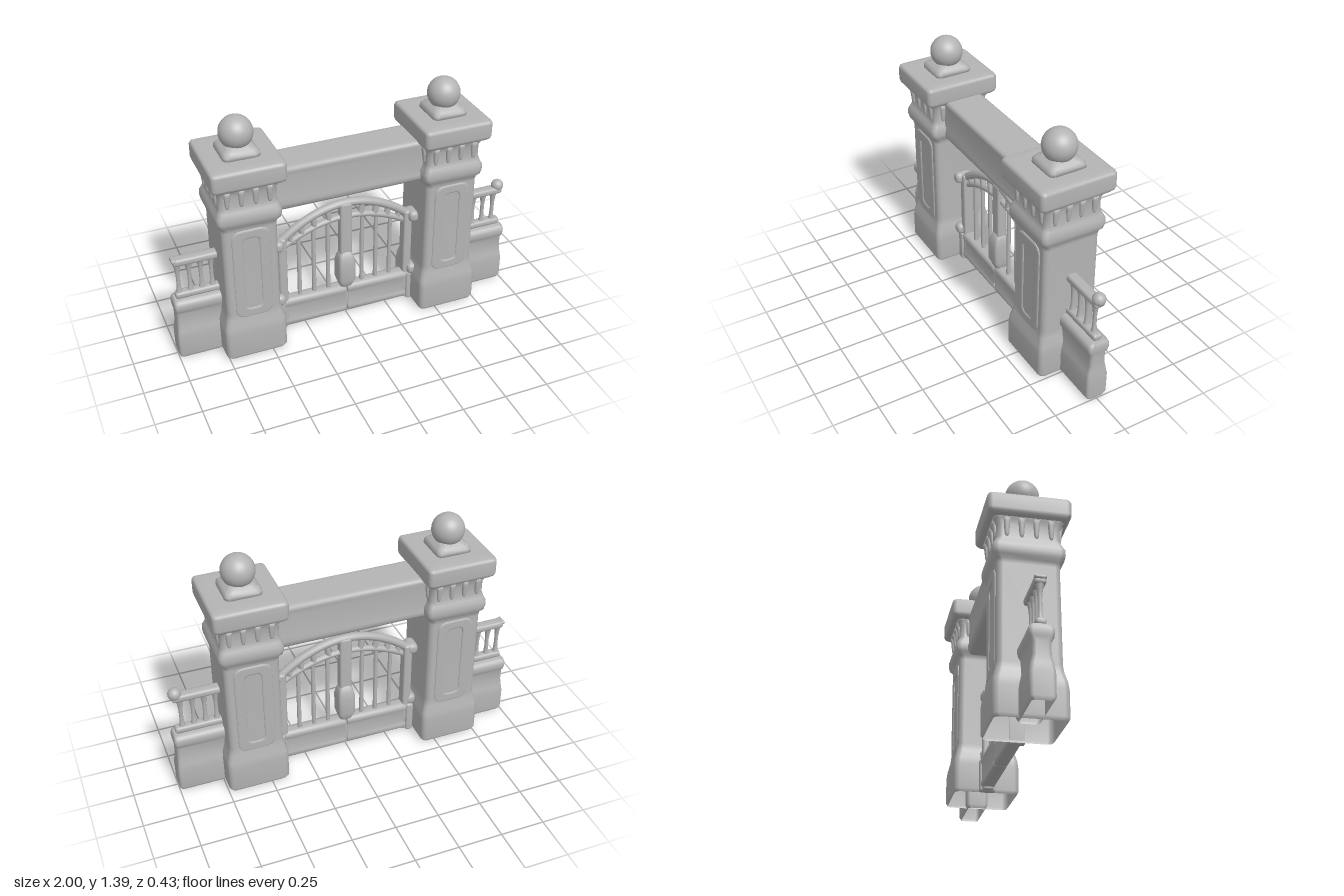
import * as THREE from 'three';

const stone = new THREE.MeshStandardMaterial({ color: 0xb4b4b4, side: THREE.DoubleSide });
stone.name = 'grey stone';

function add(parent, name, geometry, x = 0, y = 0, z = 0) {
  const mesh = new THREE.Mesh(geometry, stone);
  mesh.name = name;
  mesh.position.set(x, y, z);
  parent.add(mesh);
  return mesh;
}

// Rounded-rectangle rings stacked upwards; rows are [y, halfWidth, halfDepth]
function loft(rows, radius, closedBottom = true) {
  const steps = 4, n = 4 * (steps + 1), pos = [], idx = [];
  for (const [y, hw, hd] of rows) {
    const r = Math.min(radius, hw * 0.95, hd * 0.95);
    for (let c = 0; c < 4; c++) {
      const sx = c === 0 || c === 3 ? 1 : -1, sz = c < 2 ? 1 : -1;
      for (let s = 0; s <= steps; s++) {
        const a = (c + s / steps) * Math.PI / 2;
        pos.push(sx * (hw - r) + r * Math.cos(a), y, sz * (hd - r) + r * Math.sin(a));
      }
    }
  }
  for (let i = 0; i < rows.length - 1; i++) {
    for (let j = 0; j < n; j++) {
      const k = (j + 1) % n, a = i * n + j, b = i * n + k, c = b + n, d = a + n;
      idx.push(a, d, c, a, c, b);
    }
  }
  const top = (rows.length - 1) * n, centre = pos.length / 3;
  pos.push(0, rows[rows.length - 1][0], 0, 0, rows[0][0], 0);
  for (let j = 0; j < n; j++) {
    const k = (j + 1) % n;
    idx.push(centre, top + k, top + j);
    if (closedBottom) idx.push(centre + 1, j, k);
  }
  const g = new THREE.BufferGeometry();
  g.setAttribute('position', new THREE.Float32BufferAttribute(pos, 3));
  g.setIndex(idx);
  g.computeVertexNormals();
  return g;
}

function block(w, h, d, r = 0.012) {
  const a = w / 2, b = h / 2, c = d / 2;
  return loft([[-b, a - r, c - r], [-b + r * 0.3, a - r * 0.3, c - r * 0.3], [-b + r, a, c],
    [b - r, a, c], [b - r * 0.3, a - r * 0.3, c - r * 0.3], [b, a - r, c - r]], r);
}

function roundedPath(path, w, h, r) {
  path.moveTo(-w + r, -h);
  path.lineTo(w - r, -h); path.quadraticCurveTo(w, -h, w, -h + r);
  path.lineTo(w, h - r); path.quadraticCurveTo(w, h, w - r, h);
  path.lineTo(-w + r, h); path.quadraticCurveTo(-w, h, -w, h - r);
  path.lineTo(-w, -h + r); path.quadraticCurveTo(-w, -h, -w + r, -h);
  return path;
}

function tube(points, r) {
  return new THREE.TubeGeometry(new THREE.CatmullRomCurve3(points), 32, r, 10);
}

function makePillar(x) {
  const pillar = new THREE.Group();
  pillar.name = 'pillar';
  pillar.position.x = x;
  // Hollow shaft, open underneath
  add(pillar, 'shaft', loft([
    [0.012, 0.165, 0.175], [0.03, 0.174, 0.185], [0.17, 0.174, 0.185], [0.21, 0.171, 0.18],
    [0.26, 0.157, 0.167], [0.3, 0.152, 0.162], [0.82, 0.151, 0.16], [0.845, 0.155, 0.165],
    [0.865, 0.17, 0.18], [0.89, 0.175, 0.186], [0.92, 0.174, 0.185], [0.945, 0.163, 0.173],
    [0.97, 0.156, 0.163], [1.04, 0.156, 0.163], [1.07, 0.166, 0.178], [1.09, 0.172, 0.184],
  ], 0.03, false));
  add(pillar, 'cap', loft([
    [1.075, 0.16, 0.17], [1.085, 0.185, 0.2], [1.095, 0.194, 0.211], [1.11, 0.198, 0.216],
    [1.18, 0.198, 0.216], [1.193, 0.194, 0.211], [1.2, 0.184, 0.2], [1.202, 0.15, 0.16],
  ], 0.025));
  add(pillar, 'finialBase', loft([
    [1.195, 0.1, 0.107], [1.22, 0.098, 0.105], [1.235, 0.088, 0.092],
    [1.246, 0.07, 0.072], [1.26, 0.055, 0.055],
  ], 0.03));
  add(pillar, 'finialBall', new THREE.SphereGeometry(0.09, 32, 24), 0, 1.308, 0);

  // Raised panel frames, front and back
  const frame = roundedPath(new THREE.Shape(), 0.092, 0.265, 0.045);
  frame.holes.push(roundedPath(new THREE.Path(), 0.058, 0.235, 0.045));
  const frameGeo = new THREE.ExtrudeGeometry(frame, {
    depth: 0.006, bevelEnabled: true, bevelThickness: 0.006, bevelSize: 0.012, bevelSegments: 3, curveSegments: 8,
  });
  for (const side of [0, 1]) {
    const m = add(pillar, 'panelFrame', frameGeo, 0, 0.545, side ? -0.155 : 0.155);
    m.rotation.y = side * Math.PI;
  }
  // Small brackets under the cap on all four faces
  const bracket = loft([[-0.05, 0.006, 0.004], [-0.035, 0.012, 0.009], [0.03, 0.016, 0.016], [0.05, 0.017, 0.018]], 0.01);
  for (let f = 0; f < 4; f++) {
    const face = new THREE.Group();
    face.name = 'brackets';
    face.rotation.y = f * Math.PI / 2;
    for (let i = -1.5; i <= 1.5; i++) add(face, 'bracket', bracket, i * 0.075, 1.02, f % 2 ? 0.155 : 0.163);
    pillar.add(face);
  }
  return pillar;
}

function makeFence(side) {
  const fence = new THREE.Group();
  fence.name = side > 0 ? 'leftFence' : 'rightFence';
  // Low wall, open underneath
  add(fence, 'lowWall', loft([
    [0, 0.148, 0.05], [0.02, 0.155, 0.062], [0.14, 0.155, 0.062], [0.18, 0.15, 0.055], [0.22, 0.147, 0.046],
    [0.29, 0.147, 0.046], [0.31, 0.152, 0.058], [0.33, 0.154, 0.062], [0.35, 0.154, 0.062],
    [0.368, 0.15, 0.054], [0.376, 0.14, 0.035],
  ], 0.018, false), side * 0.845, 0.006, -0.003);
  add(fence, 'lowerRail', block(0.27, 0.038, 0.052), side * 0.845, 0.4, -0.002);
  add(fence, 'upperRail', block(0.27, 0.04, 0.06), side * 0.845, 0.612, -0.002);
  const profile = [[0.022, 0], [0.014, 0.025], [0.011, 0.06], [0.011, 0.12], [0.015, 0.16], [0.024, 0.2]]
    .map(p => new THREE.Vector2(...p));
  const baluster = new THREE.LatheGeometry(profile, 12);
  const spots = side > 0 ? [0.745, 0.808, 0.872, 0.938] : [-0.955, -0.893, -0.83, -0.772];
  for (const x of spots) add(fence, 'baluster', baluster, x, 0.405, -0.002);
  // Knob closes the rail on one fence only
  if (side > 0) {
    add(fence, 'railKnob', new THREE.SphereGeometry(0.036, 20, 14), 0.961, 0.637, -0.003);
  } else {
    const tip = add(fence, 'railTip', block(0.03, 0.022, 0.06, 0.008), -0.972, 0.624, -0.002);
    tip.rotation.z = -0.3;
  }
  return fence;
}

function makeGate() {
  const gate = new THREE.Group();
  gate.name = 'gate';
  const outerY = x => 0.748 - 1.1 * x * x;
  const innerY = x => 0.662 - 0.85 * x * x;

  // Twin arched rails
  for (const [name, curve, r, end] of [['outerArch', outerY, 0.024, 0.375], ['innerArch', innerY, 0.018, 0.37]]) {
    const pts = [];
    for (let i = -6; i <= 6; i++) pts.push(new THREE.Vector3(i / 6 * end, curve(i / 6 * end), 0));
    add(gate, name, tube(pts, r));
  }
  for (const s of [-1, 1]) {
    // Bottom panel with a moulded top
    add(gate, 'bottomPanel', loft([
      [0.03, 0.182, 0.03], [0.04, 0.187, 0.038], [0.06, 0.187, 0.038], [0.075, 0.187, 0.03], [0.15, 0.187, 0.03],
      [0.17, 0.187, 0.04], [0.19, 0.187, 0.04], [0.202, 0.187, 0.03], [0.206, 0.183, 0.015],
    ], 0.01), s * 0.19, 0, 0);
    // Upright bars
    for (const x of [0.103, 0.188, 0.275]) {
      const h = innerY(x) - 0.19;
      add(gate, 'bar', new THREE.CylinderGeometry(0.0115, 0.0125, h, 12), s * x, 0.19 + h / 2, 0);
    }
    // Short links between the arches
    for (const x of [0.1, 0.185, 0.258, 0.325]) {
      add(gate, 'archLink', tube([
        new THREE.Vector3(s * (x - 0.008), innerY(x), 0),
        new THREE.Vector3(s * (x + 0.008), outerY(x), 0),
      ], 0.017));
    }
    // Hinge posts and hinges
    add(gate, 'hingePost', block(0.05, 0.6, 0.065), s * 0.377, 0.315, 0);
    add(gate, 'postFoot', block(0.045, 0.19, 0.09), s * 0.395, 0.105, 0);
    for (const y of [0.225, 0.585]) {
      add(gate, 'hinge', block(0.06, 0.065, 0.1, 0.02), s * 0.405, y, 0.012);
    }
  }
  // Meeting stile with its swollen lock
  add(gate, 'meetingStile', block(0.07, 0.72, 0.055), 0, 0.393, 0);
  add(gate, 'lock', loft([
    [0.18, 0.03, 0.025], [0.21, 0.038, 0.036], [0.25, 0.05, 0.052], [0.36, 0.05, 0.052],
    [0.4, 0.043, 0.042], [0.435, 0.033, 0.027],
  ], 0.02));
  return gate;
}

export function createModel() {
  const model = new THREE.Group();
  model.name = 'gateway';
  const left = makePillar(0.572), right = makePillar(-0.59);
  left.name = 'leftPillar';
  right.name = 'rightPillar';
  model.add(left, right, makeFence(1), makeFence(-1), makeGate());
  // Moulded lintel
  add(model, 'lintel', loft([
    [0.85, 0.44, 0.085], [0.855, 0.44, 0.1], [0.87, 0.44, 0.112], [0.895, 0.44, 0.116], [0.925, 0.44, 0.108],
    [1.05, 0.44, 0.106], [1.075, 0.44, 0.113], [1.092, 0.44, 0.11], [1.1, 0.44, 0.098], [1.101, 0.43, 0.08],
  ], 0.01), -0.01, 0, -0.004);
  return model;
}
